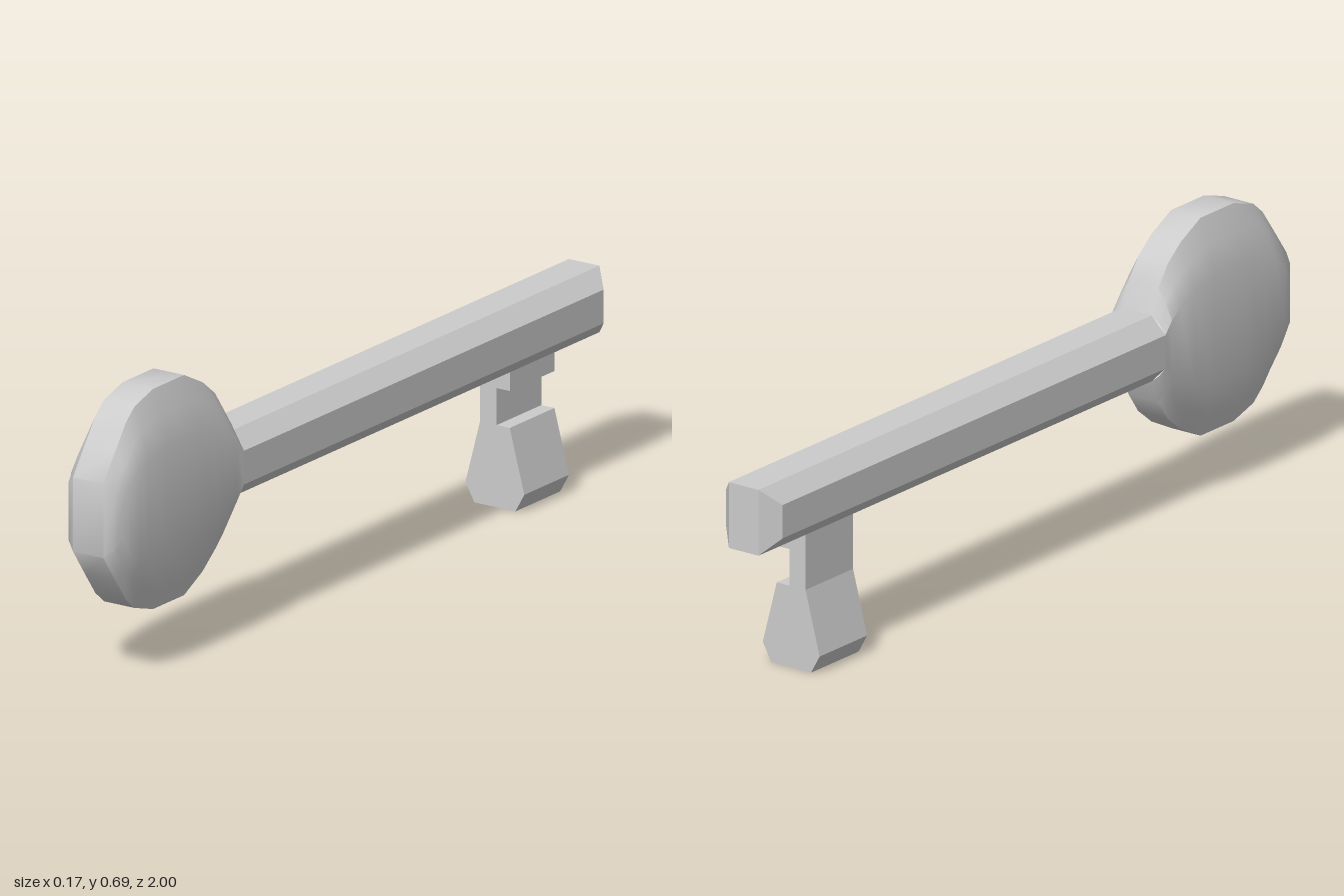
import * as THREE from 'three';
import { toCreasedNormals } from 'three/addons/utils/BufferGeometryUtils.js';

// Mirrors quarter-section points [x, y, z] (side to top) into a full ring.
function ring(quarter) {
  const left = quarter.map(([x, y, z]) => [-x, y, z]).reverse();
  const half = [...quarter, ...left];
  const lower = half.map(([x, y, z]) => [x, -y, z]).reverse();
  return [...half, ...lower];
}

// Skins rings ordered from back to front, and closes the chosen ends.
function loft(rings, capBack, capFront, crease) {
  const pos = [];
  const quad = (a, b, c, d) => pos.push(...a, ...b, ...c, ...a, ...c, ...d);
  const n = rings[0].length;
  for (let j = 0; j < rings.length - 1; j++) {
    const r = rings[j], s = rings[j + 1];
    for (let i = 0; i < n; i++) {
      const k = (i + 1) % n;
      quad(r[i], r[k], s[k], s[i]);
    }
  }
  const back = rings[0], front = rings[rings.length - 1];
  for (let i = 0; i < n / 2 - 1; i++) {
    if (capBack) quad(back[n - 1 - i], back[n - 2 - i], back[i + 1], back[i]);
    if (capFront) quad(front[i], front[i + 1], front[n - 2 - i], front[n - 1 - i]);
  }
  const geometry = new THREE.BufferGeometry();
  geometry.setAttribute('position', new THREE.Float32BufferAttribute(pos, 3));
  return toCreasedNormals(geometry, crease);
}

export function createModel() {
  const group = new THREE.Group();
  const material = new THREE.MeshStandardMaterial({ color: 0xcccccc });
  const axisY = 0.417;
  const add = (name, geometry, y) => {
    const mesh = new THREE.Mesh(geometry, material);
    mesh.name = name;
    mesh.position.y = y;
    group.add(mesh);
  };

  // Octagonal shaft with a chamfered back tip
  const shaftRing = (z, sideZ) => ring([[0.083, 0.041, sideZ], [0.043, 0.081, z]]);
  add('shaft', loft([shaftRing(-1, -0.96), shaftRing(0.49, 0.49)], true, false, 0.3), axisY);

  // Rounded bow, growing out of the shaft section: [z, half height]
  const outline = [[0.49, 0.081], [0.515, 0.14], [0.55, 0.19], [0.6, 0.23], [0.675, 0.268],
    [0.8, 0.268], [0.875, 0.245], [0.91, 0.215], [0.95, 0.16]];
  const bowRings = outline.map(([z, h]) =>
    ring([[0.083, h * 0.5, z], [0.065, h * 0.78, z], [0.043, h, z]]));
  bowRings.push(ring([[0.077, 0.043, 0.97], [0.066, 0.07, 0.985], [0.043, 0.09, 1]]));
  add('bow', loft(bowRings, false, true, 0.65), axisY);

  // Flared bit, notched on one side
  const profile = [[-0.058, 0], [0.058, 0], [0.083, 0.045], [0.042, 0.2], [0.005, 0.2],
    [0.005, 0.29], [0.042, 0.29], [0.042, 0.35], [-0.042, 0.35], [-0.042, 0.2], [-0.083, 0.045]];
  const shape = new THREE.Shape(profile.map(([x, y]) => new THREE.Vector2(x, y)));
  const bit = new THREE.ExtrudeGeometry(shape, { depth: 0.18, bevelEnabled: false });
  bit.translate(0, 0, -0.82);
  add('bit', bit, 0);

  return group;
}
